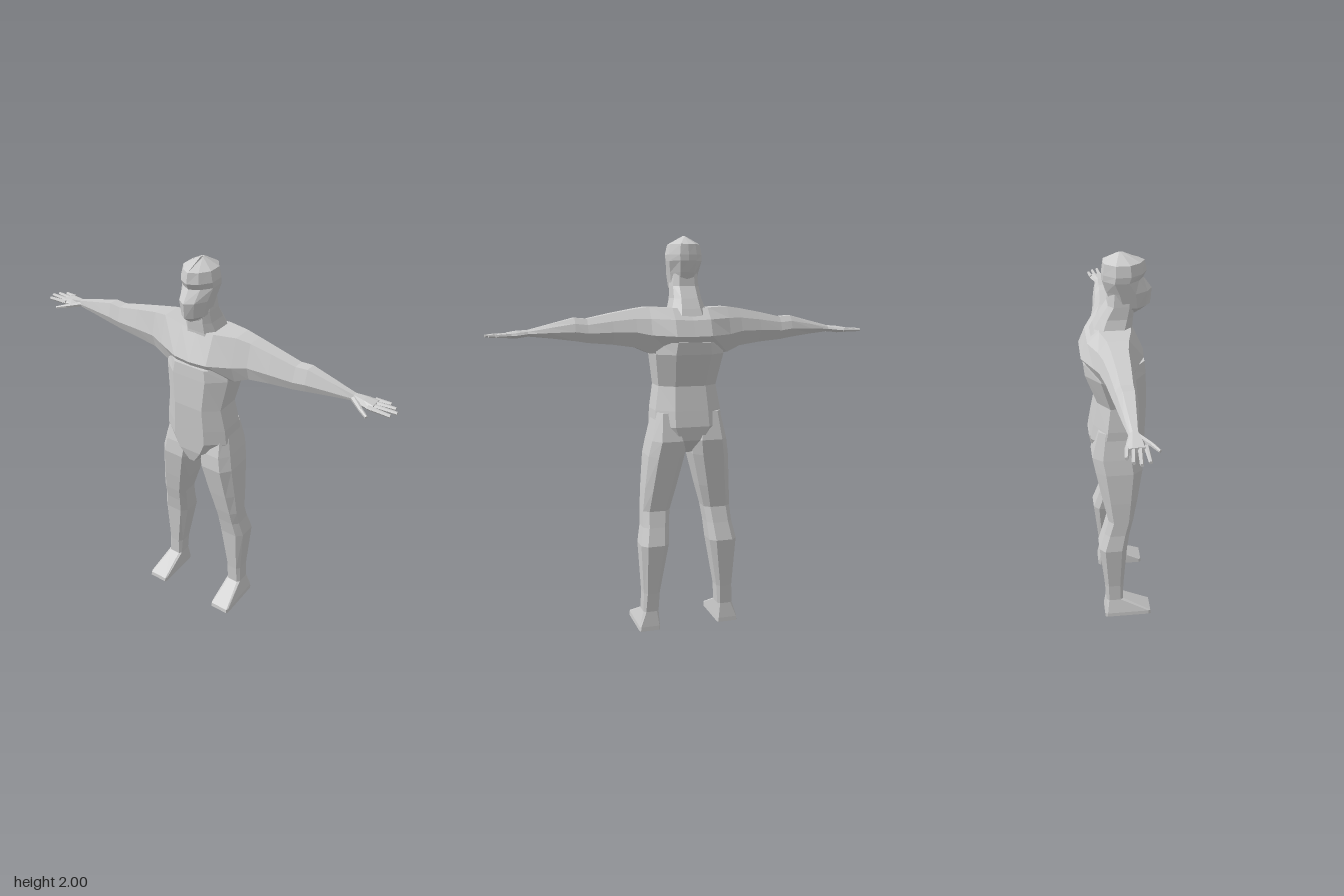
import * as THREE from 'three';

const skin = new THREE.MeshStandardMaterial({ color: 0xcccccc, flatShading: true });
skin.name = 'grey';

// Skins a list of equal-length point rings, closes both ends, and faces it outward.
function loft(name, rings) {
  const tris = [];
  const n = rings[0].length;
  for (let i = 0; i < rings.length - 1; i++) {
    for (let j = 0; j < n; j++) {
      const k = (j + 1) % n;
      const [a, b, c, d] = [rings[i][j], rings[i][k], rings[i + 1][k], rings[i + 1][j]];
      tris.push([a, b, c], [a, c, d]);
    }
  }
  const cap = (ring, flip) => {
    const mid = ring.reduce((s, p) => s.add(p), new THREE.Vector3()).divideScalar(n);
    ring.forEach((p, j) => {
      const q = ring[(j + 1) % n];
      tris.push(flip ? [mid, q, p] : [mid, p, q]);
    });
  };
  cap(rings[0], true);
  cap(rings[rings.length - 1], false);
  // signed volume tells whether the faces point inward
  const cross = new THREE.Vector3();
  const volume = tris.reduce((s, [a, b, c]) => s + a.dot(cross.crossVectors(b, c)), 0);
  const pts = tris.flatMap(t => (volume < 0 ? [t[0], t[2], t[1]] : t));
  const geo = new THREE.BufferGeometry().setFromPoints(pts);
  geo.computeVertexNormals();
  const mesh = new THREE.Mesh(geo, skin);
  mesh.name = name;
  return mesh;
}

// Level ring: a box from x0..x1 and z0..z1 with corners cut by the fraction c.
function levelRing(y, x0, x1, z0, z1, c, s = 1) {
  const cx = (x0 + x1) / 2, cz = (z0 + z1) / 2, w = (x1 - x0) / 2, d = (z1 - z0) / 2, e = 1 - c;
  return [[1, e], [e, 1], [-e, 1], [-1, e], [-1, -e], [-e, -1], [e, -1], [1, -e]]
    .map(([u, v]) => new THREE.Vector3(s * (cx + u * w), y, cz + v * d));
}

// Upright ring across the chest or arm at x, from top t to bottom b, front f to back k.
function armRing([x, t, b, f, k], s) {
  return [[1, 0.5 * f], [0.38, f], [0, 0.6 * f], [0, 0.6 * k], [0.4, k], [0.75, 0.82 * k], [1, 0.5 * k]]
    .map(([u, z]) => new THREE.Vector3(s * x, b + u * (t - b), z));
}

// Head ring with a ridge down the face and a narrow back.
function headRing([y, w, f, k]) {
  const half = [[0.55, f - 0.025], [1, k + 0.62 * (f - k)], [1, k + 0.28 * (f - k)], [0.5, k + 0.005]];
  const right = half.map(([u, z]) => new THREE.Vector3(u * w, y, z));
  const left = half.map(([u, z]) => new THREE.Vector3(-u * w, y, z)).reverse();
  return [new THREE.Vector3(0, y, f), ...right, new THREE.Vector3(0, y, k), ...left];
}

// Tapered six-sided rod between two points.
function rod(name, a, b, r0, r1) {
  const from = new THREE.Vector3(...a), to = new THREE.Vector3(...b);
  const dir = to.clone().sub(from);
  const mesh = new THREE.Mesh(new THREE.CylinderGeometry(r1, r0, dir.length(), 6), skin);
  mesh.position.copy(from).add(to).multiplyScalar(0.5);
  mesh.quaternion.setFromUnitVectors(new THREE.Vector3(0, 1, 0), dir.normalize());
  mesh.name = name;
  return mesh;
}

export function createModel() {
  const model = new THREE.Group();
  model.name = 'humanFigure';

  // Torso: y, half width, back z, front z, corner cut
  const torso = [
    [0.93, 0.03, -0.06, 0.115, 0.5], [1.0, 0.12, -0.125, 0.13, 0.5], [1.07, 0.175, -0.135, 0.133, 0.5],
    [1.15, 0.17, -0.122, 0.136, 0.5], [1.27, 0.15, -0.1, 0.14, 0.48],
    [1.43, 0.175, -0.158, 0.132, 0.48], [1.49, 0.165, -0.165, 0.127, 0.5],
  ];
  model.add(loft('torso', torso.map(([y, w, k, f, c]) => levelRing(y, -w, w, k, f, c))));

  // Chest and arms in one sweep: x, top, bottom, front, back
  const arm = [
    [0.09, 1.655, 1.43, 0.122, -0.175], [0.2, 1.66, 1.435, 0.075, -0.125], [0.27, 1.65, 1.465, 0.055, -0.105],
    [0.38, 1.63, 1.48, 0.05, -0.085], [0.5, 1.605, 1.49, 0.04, -0.07], [0.56, 1.61, 1.5, 0.038, -0.065],
    [0.68, 1.58, 1.515, 0.022, -0.05], [0.78, 1.555, 1.525, 0.008, -0.035],
    [0.83, 1.552, 1.518, 0.026, -0.05], [0.88, 1.544, 1.52, 0.038, -0.06],
  ];
  model.add(loft('chestAndArms', [
    ...arm.slice().reverse().map(r => armRing(r, -1)),
    armRing([0, 1.65, 1.43, 0.13, -0.175], 1),
    ...arm.map(r => armRing(r, 1)),
  ]));

  // Neck, spreading into the upper back
  const neck = [
    [1.56, 0.13, -0.15, 0.07, 0.5], [1.65, 0.085, -0.108, 0.07, 0.45],
    [1.7, 0.07, -0.08, 0.075, 0.4], [1.76, 0.066, -0.042, 0.08, 0.4], [1.82, 0.06, -0.035, 0.08, 0.4],
  ];
  model.add(loft('neck', neck.map(([y, w, k, f, c]) => levelRing(y, -w, w, k, f, c))));

  // Head: y, half width, front, back
  const head = [
    [1.715, 0.025, 0.11, 0.04], [1.75, 0.06, 0.158, -0.02], [1.825, 0.073, 0.165, -0.052], [1.88, 0.083, 0.125, -0.068],
    [1.91, 0.085, 0.14, -0.068], [1.96, 0.074, 0.13, -0.062], [2.0, 0.006, 0.032, 0.005],
  ];
  model.add(loft('head', head.map(headRing)));

  // Leg and foot: y, inner x, outer x, back z, front z, corner cut
  const leg = [
    [1.14, 0.05, 0.165, -0.1, 0.07, 0.4], [1.0, 0.012, 0.195, -0.135, 0.108, 0.42],
    [0.92, 0.022, 0.21, -0.12, 0.116, 0.42], [0.75, 0.062, 0.225, -0.086, 0.09, 0.42],
    [0.63, 0.093, 0.233, -0.06, 0.068, 0.4], [0.55, 0.103, 0.238, -0.082, 0.05, 0.4],
    [0.46, 0.11, 0.255, -0.11, 0.035, 0.4], [0.2, 0.155, 0.24, -0.082, 0.017, 0.38],
    [0.1, 0.162, 0.243, -0.075, 0.015, 0.3], [0.022, 0.158, 0.266, -0.084, 0.165, 0.1], [0, 0.157, 0.268, -0.085, 0.168, 0.1],
  ];
  // Fingers: base z, tip x, tip z
  const fingers = [[-0.048, 0.93, -0.058], [-0.022, 0.962, -0.035], [0.003, 0.98, -0.006], [0.027, 0.965, 0.03]];

  for (const s of [1, -1]) {
    const side = s > 0 ? 'left' : 'right';
    model.add(loft(side + 'Leg', leg.map(([y, a, b, k, f, c]) => levelRing(y, a, b, k, f, c, s))));
    for (const [z, tipX, tipZ] of fingers) {
      model.add(rod(side + 'Finger', [s * 0.86, 1.533, z], [s * tipX, 1.53, tipZ], 0.011, 0.008));
    }
    model.add(rod(side + 'ThumbBase', [s * 0.78, 1.535, 0], [s * 0.84, 1.527, 0.052], 0.014, 0.01));
    model.add(rod(side + 'ThumbTip', [s * 0.835, 1.528, 0.049], [s * 0.88, 1.52, 0.08], 0.01, 0.007));
  }
  return model;
}
